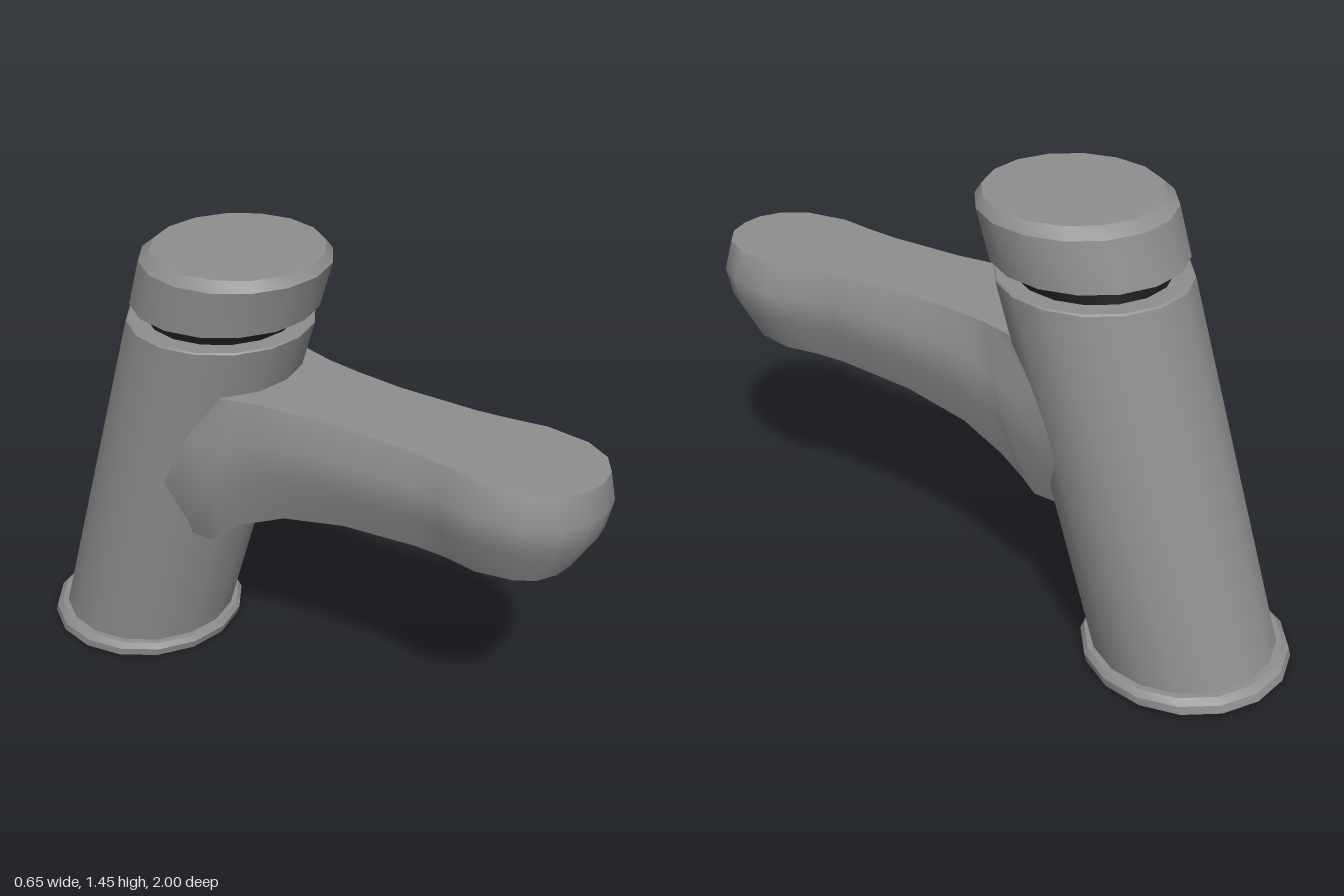
import * as THREE from 'three';
import { toCreasedNormals } from 'three/addons/utils/BufferGeometryUtils.js';

const metal = new THREE.MeshStandardMaterial({ color: 0x8f8f8f, side: THREE.DoubleSide });
const dark = new THREE.MeshStandardMaterial({ color: 0x1a1a1a, side: THREE.DoubleSide });

function addMesh(parent, name, geometry, material = metal) {
  const mesh = new THREE.Mesh(geometry, material);
  mesh.name = name;
  parent.add(mesh);
}

// Turned part leaning forward: each level slides along z with its height
function leaningLathe(profile) {
  const g = new THREE.LatheGeometry(profile.map(([r, y]) => new THREE.Vector2(r, y)), 16);
  const p = g.attributes.position;
  for (let i = 0; i < p.count; i++) p.setZ(i, p.getZ(i) + 0.302 * p.getY(i) - 0.671);
  return toCreasedNormals(g, 0.5);
}

// Smooth surface through rows of points
function gridSurface(rows) {
  const n = rows[0].length, index = [];
  for (let i = 0; i < rows.length - 1; i++) {
    for (let j = 0; j < n - 1; j++) {
      const a = i * n + j, b = a + n;
      index.push(a, b, a + 1, b, b + 1, a + 1);
    }
  }
  const g = new THREE.BufferGeometry();
  g.setAttribute('position', new THREE.Float32BufferAttribute(rows.flat(2), 3));
  g.setIndex(index);
  g.computeVertexNormals();
  return g;
}

// Spout stations from body to tip: z at top, backward slant, rounding,
// bottom height, then half widths from top edge to bottom edge
const STATIONS = [
  [-0.17, 0.32, -1.5, 0.52, 0.215, 0.25, 0.268, 0.19],
  [-0.1, 0.125, 0, 0.525, 0.2, 0.232, 0.242, 0.187],
  [-0.06, 0.12, 0, 0.565, 0.19, 0.22, 0.225, 0.182],
  [-0.02, 0.08, 0, 0.62, 0.18, 0.213, 0.213, 0.173],
  [0.09, 0.05, 0, 0.685, 0.165, 0.205, 0.2, 0.16],
  [0.25, 0, 0, 0.73, 0.152, 0.198, 0.19, 0.15],
  [0.5, 0, 0, 0.75, 0.158, 0.195, 0.185, 0.145],
  [0.6, 0, 0, 0.753, 0.17, 0.21, 0.197, 0.15],
  [0.72, 0, 0.2, 0.757, 0.19, 0.235, 0.218, 0.17],
  [0.86, 0, 0.5, 0.76, 0.175, 0.212, 0.195, 0.15],
  [0.945, 0, 0.85, 0.76, 0.13, 0.155, 0.146, 0.115],
  [0.99, 0, 1, 0.76, 0.065, 0.075, 0.071, 0.058],
  [1.0, 0, 1, 0.76, 0, 0, 0, 0],
];
const LEVELS = [0, 0.3, 0.6, 1];
const ROUNDING = [0.015, 0, 0.018, 0.09];
const TOP = 1.06;

function halfSection([z, slant, round, bottom, ...widths], side) {
  return LEVELS.map((t, j) => [
    side * widths[j],
    TOP - t * (TOP - bottom),
    z - slant * t - round * ROUNDING[j],
  ]);
}

// Underside row, sagging in the middle where it runs into the body
function undersideRow(l, r, i) {
  const sag = [0.1, 0.012][i] ?? 0;
  return [l, [0, l[1] - sag, l[2]], r];
}

export function createModel() {
  const model = new THREE.Group();
  model.name = 'tap';

  // Column, open underneath
  addMesh(model, 'baseFlange', leaningLathe([
    [0.29, 0.045], [0.295, 0], [0.325, 0], [0.325, 0.027], [0.309, 0.045], [0.29, 0.045],
  ]));
  addMesh(model, 'body', leaningLathe([[0.29, 0.04], [0.29, 1.212], [0.285, 1.217], [0, 1.217]]));
  addMesh(model, 'neck', leaningLathe([[0.23, 1.21], [0.23, 1.26]]), dark);
  addMesh(model, 'handleCap', leaningLathe([
    [0, 1.25], [0.235, 1.25], [0.29, 1.272], [0.29, 1.42], [0.262, 1.45], [0, 1.45],
  ]));

  // Spout: one wall wrapping round the tip, closed by a flat top and a curved underside
  const left = STATIONS.map((s) => halfSection(s, 1));
  const right = STATIONS.map((s) => halfSection(s, -1));
  const spout = new THREE.Group();
  spout.name = 'spout';
  addMesh(spout, 'spoutWall', gridSurface([...left, ...right.slice(0, -1).reverse()]));
  addMesh(spout, 'spoutTop', gridSurface(left.map((l, i) => [right[i][0], l[0]])));
  addMesh(spout, 'spoutUnderside', gridSurface(
    left.map((l, i) => undersideRow(l.at(-1), right[i].at(-1), i)),
  ));
  model.add(spout);

  return model;
}
